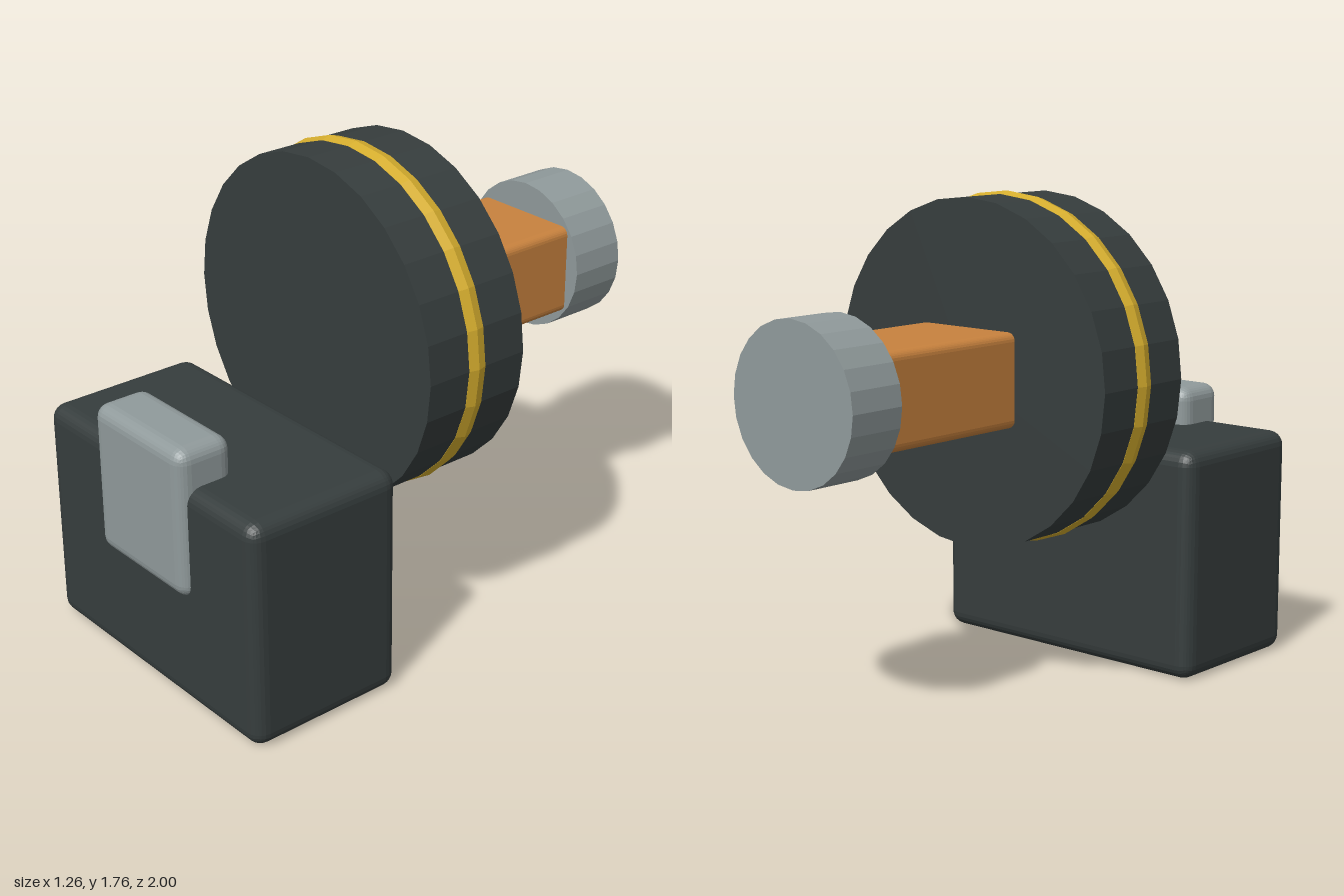
import * as THREE from 'three';
import { RoundedBoxGeometry } from 'three/addons/geometries/RoundedBoxGeometry.js';

const material = (name, color, flatShading = false) =>
  new THREE.MeshStandardMaterial({ name, color, flatShading });

export function createModel() {
  const model = new THREE.Group();
  const charcoal = material('charcoal', 0x363d3d, true);
  const grey = material('grey', 0x909a9b, true);
  const orange = material('orange', 0xc8823e, true);
  const gold = material('gold', 0xd6ae2e, true);
  const axisY = 1.13;

  const add = (name, geometry, mat, x, y, z) => {
    const mesh = new THREE.Mesh(geometry, mat);
    mesh.name = name;
    mesh.position.set(x, y, z);
    model.add(mesh);
    return mesh;
  };
  // Rounded block given by its y and z limits, centred on x
  const block = (name, mat, width, y0, y1, z0, z1, radius) =>
    add(name, new RoundedBoxGeometry(width, y1 - y0, z1 - z0, 3, radius), mat,
      0, (y0 + y1) / 2, (z0 + z1) / 2);
  // Cylinder lying along z
  const drum = (name, mat, radius, z0, z1, sides) => {
    const geometry = new THREE.CylinderGeometry(radius, radius, z1 - z0, sides);
    geometry.rotateX(Math.PI / 2);
    return add(name, geometry, mat, 0, axisY, (z0 + z1) / 2);
  };

  // Front housing with its clip
  block('housing', charcoal, 1.18, 0, 0.845, 0.355, 0.97, 0.055);
  block('frontClip', grey, 0.5, 0.43, 0.985, 0.78, 1, 0.05);

  // Large disc and the raised band around its rim
  drum('disc', charcoal, 0.62, -0.17, 0.25, 28);
  const band = new THREE.LatheGeometry([
    new THREE.Vector2(0.6, -0.038),
    new THREE.Vector2(0.621, -0.036),
    new THREE.Vector2(0.631, 0),
    new THREE.Vector2(0.621, 0.036),
    new THREE.Vector2(0.6, 0.038),
  ], 28);
  band.rotateX(Math.PI / 2);
  add('rimBand', band, gold, 0, axisY, 0.042);

  // Rear arm and end cap
  block('arm', orange, 0.445, 0.963, 1.297, -0.85, -0.1, 0.03);
  drum('endCap', grey, 0.28, -1, -0.78, 24);

  return model;
}
